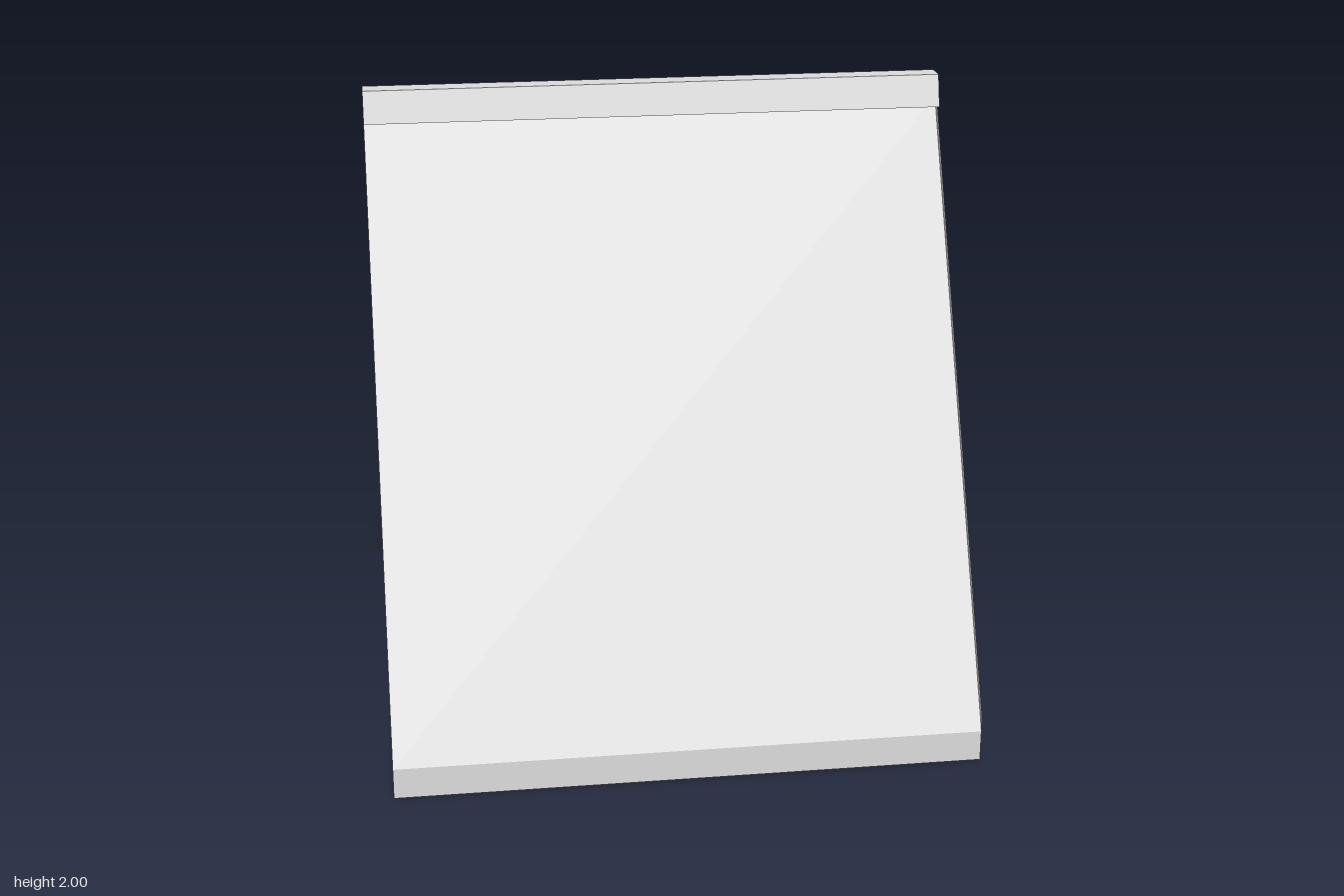
import * as THREE from 'three';

const HALF = 0.92;    // half length along x and half span along z
const RIDGE_Z = 0.01; // the ridge sits slightly forward of centre

// Thin sheet: a [z, y] profile swept along x from x0 to x1
function sheet(profile, x0, x1) {
  const pos = [];
  for (let i = 0; i < profile.length - 1; i++) {
    const [z0, y0] = profile[i];
    const [z1, y1] = profile[i + 1];
    pos.push(x0, y0, z0, x1, y0, z0, x1, y1, z1);
    pos.push(x0, y0, z0, x1, y1, z1, x0, y1, z1);
  }
  const g = new THREE.BufferGeometry();
  g.setAttribute('position', new THREE.Float32BufferAttribute(pos, 3));
  g.computeVertexNormals();
  return g;
}

// Flat [z, y] outline standing across x
function outline(points) {
  return new THREE.ShapeGeometry(new THREE.Shape(points.map(([z, y]) => new THREE.Vector2(z, y))));
}

export function createModel() {
  const model = new THREE.Group();
  model.name = 'aFrameCabin';
  const body = new THREE.Group();
  body.name = 'cabinBody';
  body.position.z = RIDGE_Z;
  model.add(body);

  const plaster = new THREE.MeshStandardMaterial({ color: 0xdcdcdc, side: THREE.DoubleSide });
  plaster.name = 'palePlaster';

  const add = (parent, name, geometry) => {
    const mesh = new THREE.Mesh(geometry, plaster);
    mesh.name = name;
    parent.add(mesh);
    return mesh;
  };

  // Two roof slopes with a vertical fascia along each eave
  add(body, 'roof', sheet(
    [[HALF, 0], [HALF, 0.1], [0, 1.92], [-HALF, 0.1], [-HALF, 0]], -HALF, HALF));

  // Flat-topped cap over the ridge
  add(body, 'ridgeCap', sheet(
    [[0.065, 1.9], [0.035, 2], [-0.035, 2], [-0.065, 1.9]], -HALF, HALF));

  // End boards along the roof edges and recessed gable walls
  const boards = outline([[HALF, 0.05], [HALF, 0.15], [0, 1.975], [-HALF, 0.15], [-HALF, 0.05], [0, 1.885]]);
  const gable = outline([[-0.848, 0.097], [0.848, 0.097], [0, 1.81]]);
  for (const [side, s] of [['left', 1], ['right', -1]]) {
    for (const [name, geometry, x] of [['BargeBoards', boards, HALF], ['GableWall', gable, 0.86]]) {
      const mesh = add(body, side + name, geometry);
      mesh.rotation.y = s * Math.PI / 2;
      mesh.position.x = s * x;
    }
  }

  // Two box dormers on the back slope: cheeks, flat roof and a window panel
  for (const [side, x] of [['left', 0.33], ['right', -0.37]]) {
    const dormer = new THREE.Group();
    dormer.name = side + 'Dormer';
    dormer.position.set(x, 0, -0.72);
    body.add(dormer);

    add(dormer, 'dormerRoof', sheet([[0.22, 1.53], [-0.22, 1.53]], -0.14, 0.14));
    for (const s of [1, -1]) {
      const cheek = add(dormer, 'dormerCheek', new THREE.PlaneGeometry(0.44, 0.8));
      cheek.rotation.y = s * Math.PI / 2;
      cheek.position.set(s * 0.14, 1.13, 0);
    }
    const panel = add(dormer, 'dormerWindow', new THREE.PlaneGeometry(0.19, 0.46));
    panel.rotation.y = Math.PI;
    panel.position.set(0, 1.19, -0.22);
  }

  return model;
}
